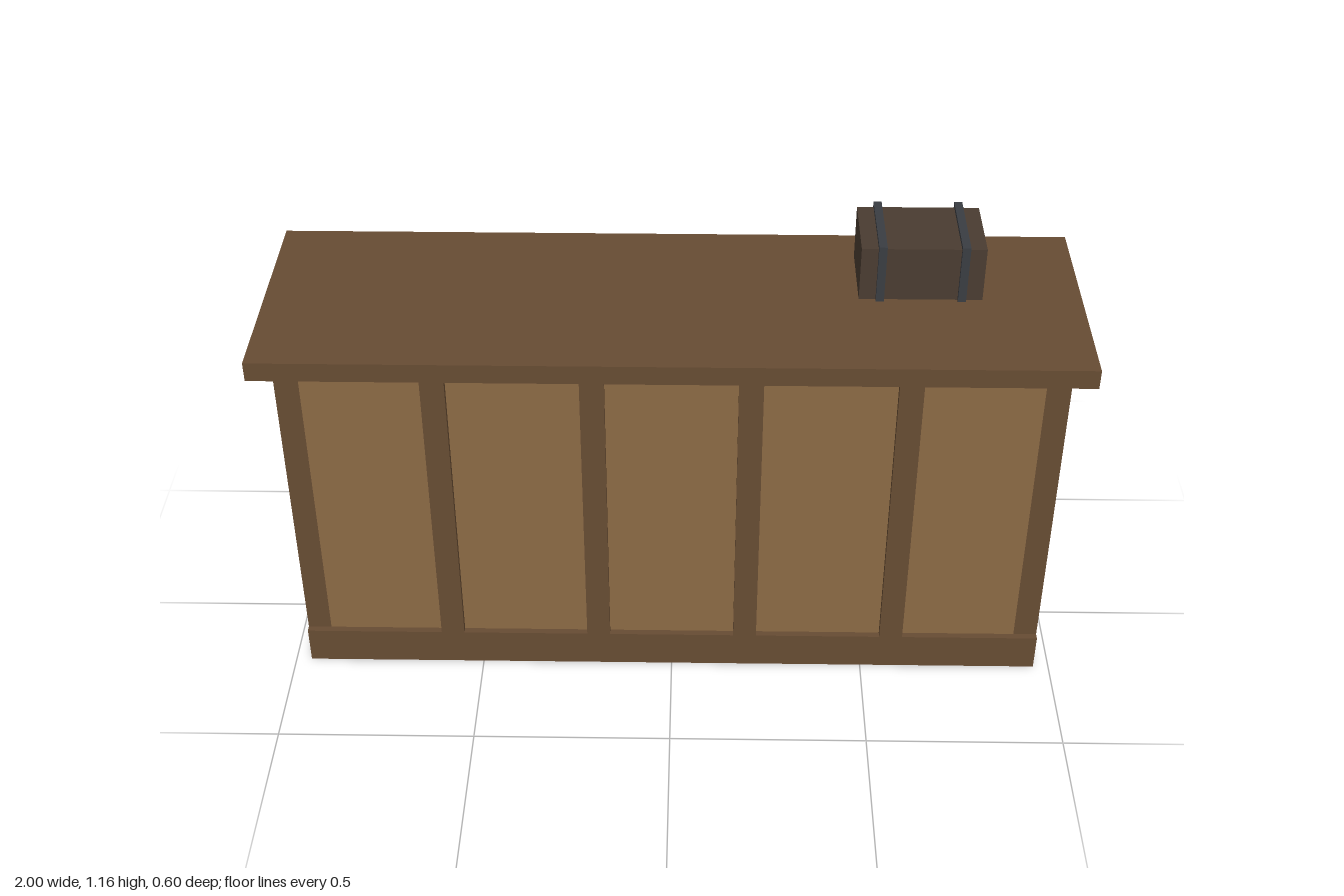
import * as THREE from 'three';

const material = (name, color) => {
  const m = new THREE.MeshStandardMaterial({ color });
  m.name = name;
  return m;
};

export function createModel() {
  const darkWood = material('darkWood', 0x674c33);
  const lightWood = material('lightWood', 0x8b6a44);
  const chestWood = material('chestWood', 0x4a3c31);
  const iron = material('iron', 0x3a3d42);

  const counter = new THREE.Group();
  counter.name = 'counter';

  // Box given by its min and max on each axis
  const box = (parent, name, mat, [x0, x1], [y0, y1], [z0, z1]) => {
    const mesh = new THREE.Mesh(new THREE.BoxGeometry(x1 - x0, y1 - y0, z1 - z0), mat);
    mesh.position.set((x0 + x1) / 2, (y0 + y1) / 2, (z0 + z1) / 2);
    mesh.name = name;
    parent.add(mesh);
  };

  // Carcass, open at the back
  box(counter, 'countertop', darkWood, [-1, 1], [0.962, 1.012], [-0.302, 0.302]);
  box(counter, 'leftSide', darkWood, [0.9, 0.96], [0, 0.962], [-0.302, 0.201]);
  box(counter, 'rightSide', darkWood, [-0.96, -0.9], [0, 0.962], [-0.302, 0.201]);
  box(counter, 'frontPanel', lightWood, [-0.9, 0.9], [0, 0.962], [0.161, 0.201]);
  box(counter, 'shelf', lightWood, [-0.9, 0.9], [0.468, 0.503], [-0.302, -0.05]);

  // Front trim
  box(counter, 'plinth', darkWood, [-0.96, 0.96], [0, 0.1], [0.201, 0.218]);
  for (const x of [-0.576, -0.192, 0.192, 0.576]) {
    box(counter, 'batten', darkWood, [x - 0.03, x + 0.03], [0.1, 0.912], [0.201, 0.218]);
  }

  // Strapped chest on the countertop
  const chest = new THREE.Group();
  chest.name = 'chest';
  counter.add(chest);
  box(chest, 'chestBody', chestWood, [0.454, 0.756], [1.012, 1.154], [-0.201, 0]);
  for (const x of [0.505, 0.705]) {
    box(chest, 'chestStrap', iron, [x - 0.01, x + 0.01], [1.012, 1.164], [-0.211, 0.01]);
  }

  return counter;
}
